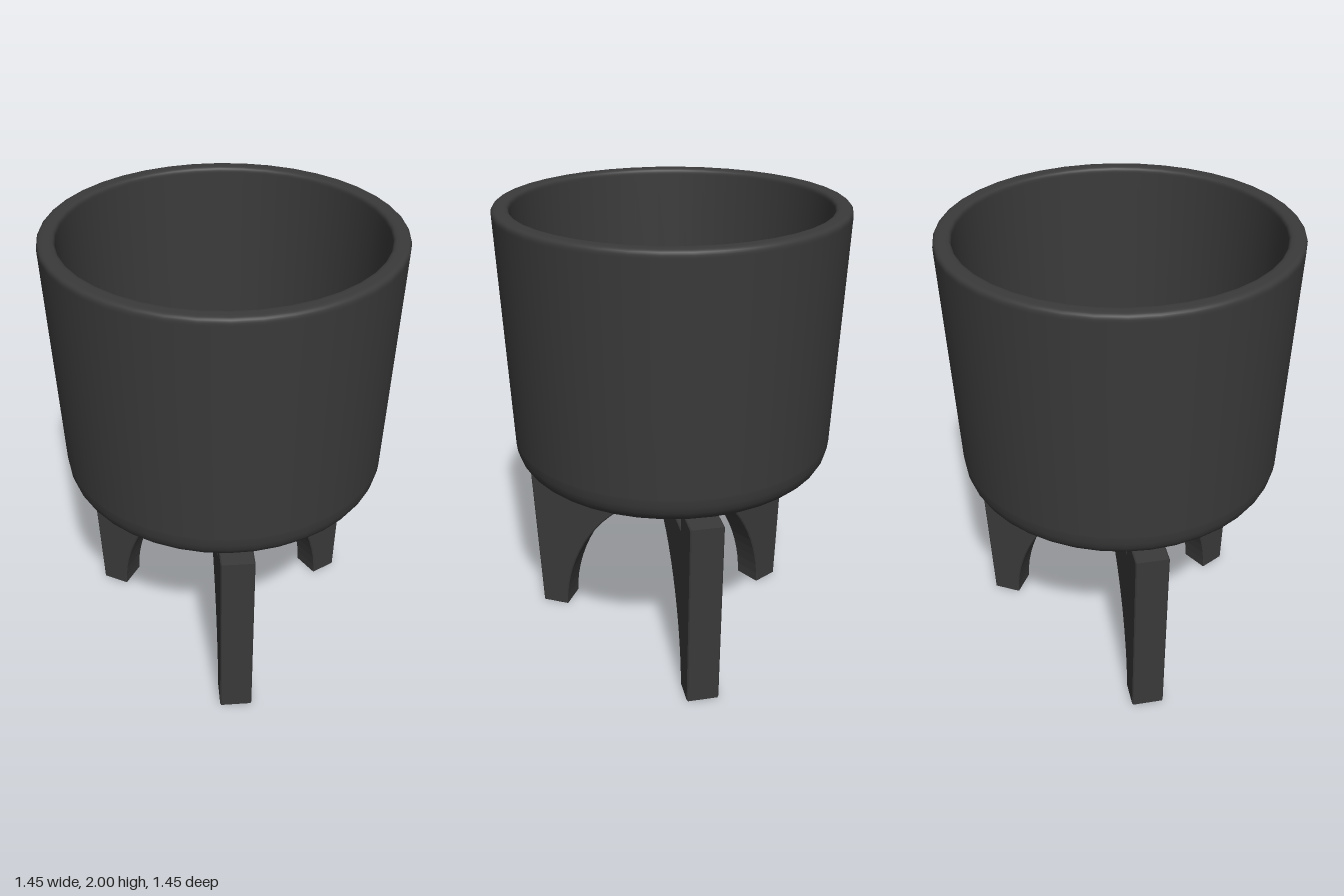
import * as THREE from 'three';

const charcoal = new THREE.MeshStandardMaterial({ color: 0x3a3a3a });
charcoal.name = 'charcoal';

// Turn a profile of [radius, height] points, with rounded corners [r, y, cornerRadius]
function turned(name, corners, segments) {
  const pts = [];
  corners.forEach(([r, y, round = 0], i) => {
    const p = new THREE.Vector2(r, y);
    if (!round) { pts.push(p); return; }
    const toward = (q) => new THREE.Vector2(q[0], q[1]).sub(p).normalize();
    const before = toward(corners[i - 1]), after = toward(corners[i + 1]);
    const start = p.clone().addScaledVector(before, round);
    const end = p.clone().addScaledVector(after, round);
    // Extra points beside the curve keep the long walls evenly shaded
    pts.push(start.clone().addScaledVector(before, 0.004));
    pts.push(...new THREE.QuadraticBezierCurve(start, p, end).getPoints(7));
    pts.push(end.clone().addScaledVector(after, 0.004));
  });
  const mesh = new THREE.Mesh(new THREE.LatheGeometry(pts, segments), charcoal);
  mesh.name = name;
  return mesh;
}

// Side outline of one leg: notched top, tapered outer edge, half arch underneath
function legGeometry() {
  const s = new THREE.Shape();
  s.moveTo(0, 0.77);
  s.lineTo(0, 0.655);
  const steps = 18, reach = 0.515, rise = 0.655, power = 2 / 1.85;
  for (let i = 1; i <= steps; i++) {
    const t = (i / steps) * Math.PI / 2;
    s.lineTo(reach * Math.sin(t) ** power, i === steps ? 0 : rise * Math.cos(t) ** power);
  }
  s.lineTo(0.638, 0);
  s.lineTo(0.68, 0.868);
  s.lineTo(0.5, 0.868);
  s.lineTo(0.5, 0.77);
  s.closePath();
  const bevel = 0.005;
  const g = new THREE.ExtrudeGeometry(s, {
    depth: 0.14 - 2 * bevel, bevelEnabled: true, bevelSize: bevel,
    bevelThickness: bevel, bevelOffset: -bevel, bevelSegments: 1,
  });
  return g.translate(0, 0, -0.07 + bevel);
}

export function createModel() {
  const model = new THREE.Group();
  model.name = 'planter';

  // Hollow pot with rounded base and lip
  model.add(turned('pot', [
    [0, 0.875], [0.682, 0.875, 0.125], [0.727, 2, 0.026],
    [0.655, 2, 0.02], [0.615, 0.95, 0.11], [0, 0.95],
  ], 40));

  // Round foot under the pot, resting on the stand
  model.add(turned('potFoot', [
    [0, 0.768], [0.41, 0.768, 0.015], [0.41, 0.88],
  ], 40));

  // Three legs joined at the centre
  const stand = new THREE.Group();
  stand.name = 'stand';
  const geometry = legGeometry();
  for (const angle of [Math.PI, Math.PI / 3, -Math.PI / 3]) {
    const leg = new THREE.Mesh(geometry, charcoal);
    leg.name = 'leg';
    leg.rotation.y = angle;
    stand.add(leg);
  }
  model.add(stand);
  return model;
}
